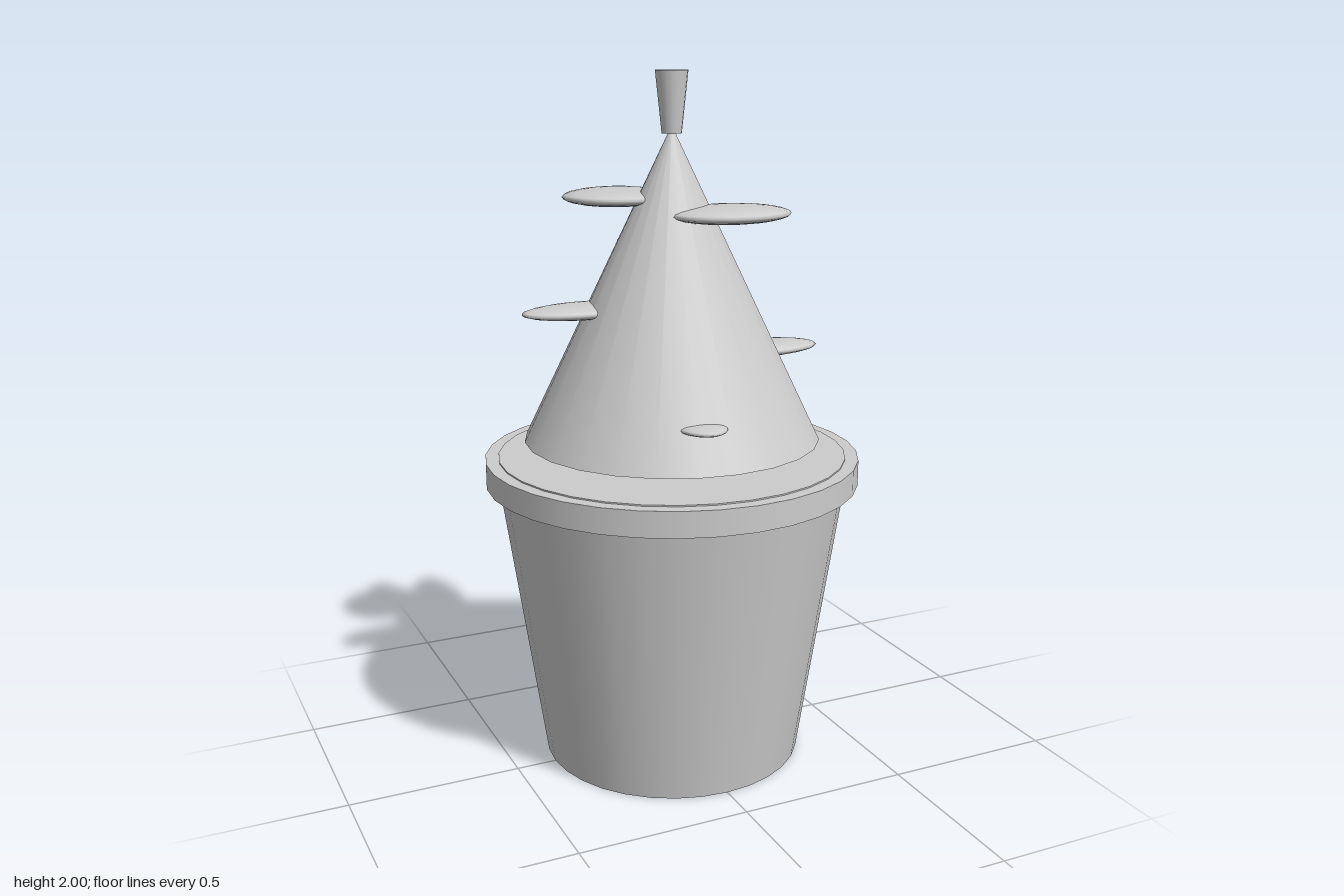
import * as THREE from 'three';

export function createModel() {
  const model = new THREE.Group();
  model.name = 'pottedTree';
  const grey = new THREE.MeshStandardMaterial({ color: 0xcccccc });
  grey.name = 'light grey';

  const add = (name, geometry, x = 0, y = 0, z = 0) => {
    const mesh = new THREE.Mesh(geometry, grey);
    mesh.name = name;
    mesh.position.set(x, y, z);
    model.add(mesh);
    return mesh;
  };
  // Upright tapered cylinder between two heights
  const post = (name, rTop, rBottom, y0, y1, sides, x = 0, z = 0) =>
    add(name, new THREE.CylinderGeometry(rTop, rBottom, y1 - y0, sides), x, (y0 + y1) / 2, z);

  // Pot with its rim and soil
  post('pot', 0.515, 0.382, 0, 0.9, 32);
  post('rim', 0.543, 0.543, 0.838, 0.912, 32);
  post('soil', 0.505, 0.505, 0.86, 0.916, 32);

  // Trunk and two thin stalks between soil and foliage
  post('trunk', 0.023, 0.023, 0.9, 1.1, 12);
  for (const side of [-1, 1]) post('stalk', 0.013, 0.013, 0.9, 1.0, 8, 0.313, side * 0.058);

  // Conical foliage and the flared tip
  post('foliage', 0.006, 0.428, 0.963, 1.84, 24);
  post('tip', 0.046, 0.028, 1.83, 2, 16);

  // Flat leaves growing out of the cone: x, y, z, then half sizes
  const leaves = [
    [0.135, 1.612, 0.097, 0.18, 0.026, 0.136],
    [-0.118, 1.651, -0.117, 0.157, 0.026, 0.148],
    [0.043, 1.488, -0.19, 0.088, 0.023, 0.238],
    [-0.235, 1.343, -0.055, 0.195, 0.022, 0.088],
    [0.29, 1.2, -0.002, 0.183, 0.021, 0.086],
    [-0.065, 1.077, 0.32, 0.07, 0.016, 0.1],
  ];
  for (const [x, y, z, rx, ry, rz] of leaves)
    add('leaf', new THREE.SphereGeometry(1, 20, 12), x, y, z).scale.set(rx, ry, rz);

  return model;
}
